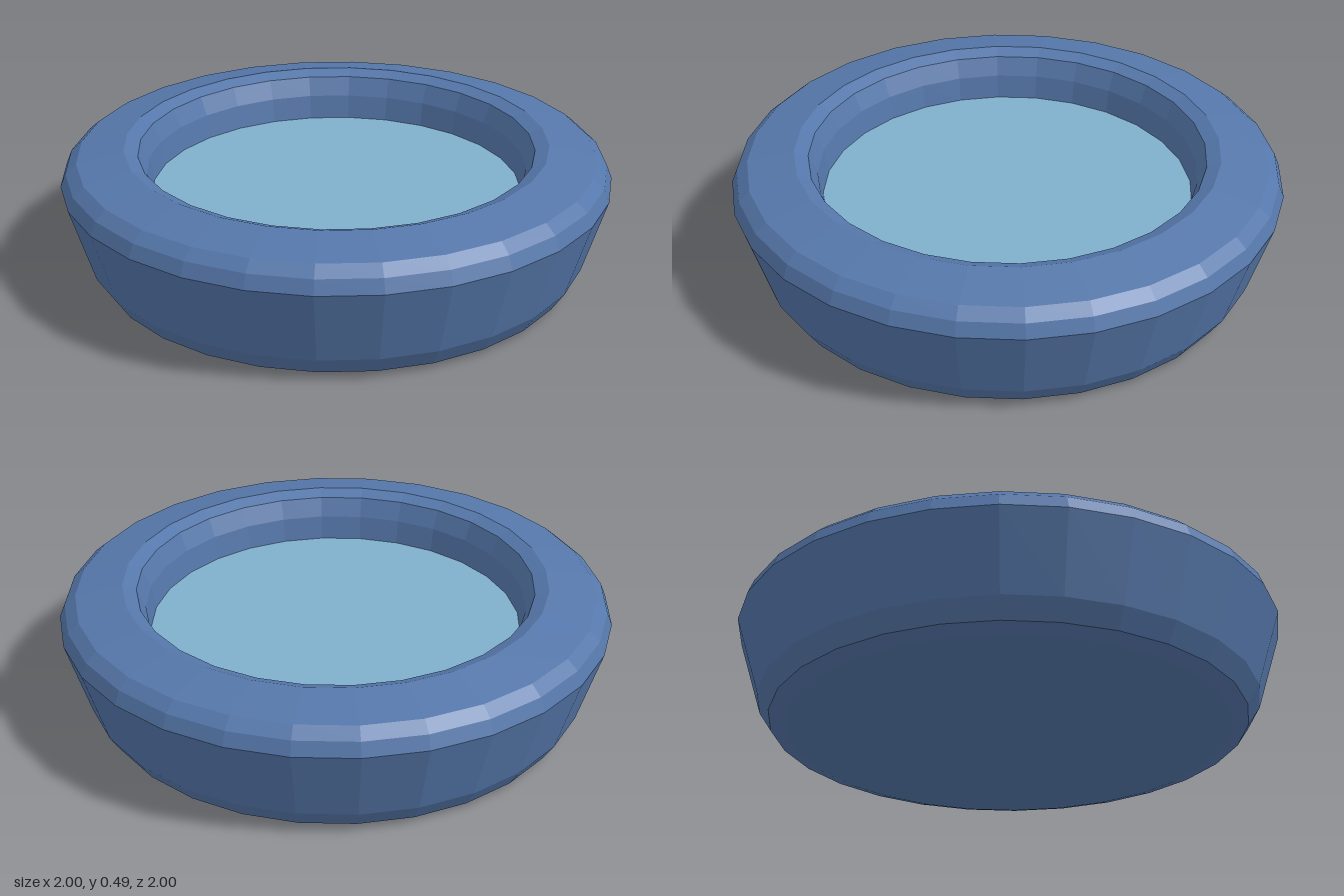
import * as THREE from 'three';

const SIDES = 28;

// Turned part with flat sides facing the x and z axes; radii are measured to the flats.
function turned(name, profile, color) {
  const k = 1 / Math.cos(Math.PI / SIDES);
  const points = profile.map(([r, y]) => new THREE.Vector2(r * k, y));
  const geometry = new THREE.LatheGeometry(points, SIDES, Math.PI / SIDES);
  const mesh = new THREE.Mesh(
    geometry,
    new THREE.MeshStandardMaterial({ color, flatShading: true })
  );
  mesh.name = name;
  return mesh;
}

export function createModel() {
  const group = new THREE.Group();
  group.name = 'bowl';

  // Shell: base, flared outer wall, rounded rim, inner wall and inner floor
  group.add(turned('bowlShell', [
    [0, 0], [0.81, 0], [0.87, 0.02], [0.915, 0.09],
    [1, 0.37], [0.98, 0.42], [0.94, 0.455], [0.77, 0.49],
    [0.72, 0.47], [0.69, 0.4], [0.675, 0.31], [0.66, 0.28], [0, 0.28],
  ], 0x5577aa));

  // Flat water surface inside the bowl
  group.add(turned('water', [[0.675, 0.31], [0, 0.31]], 0x7fb0cc));

  return group;
}
